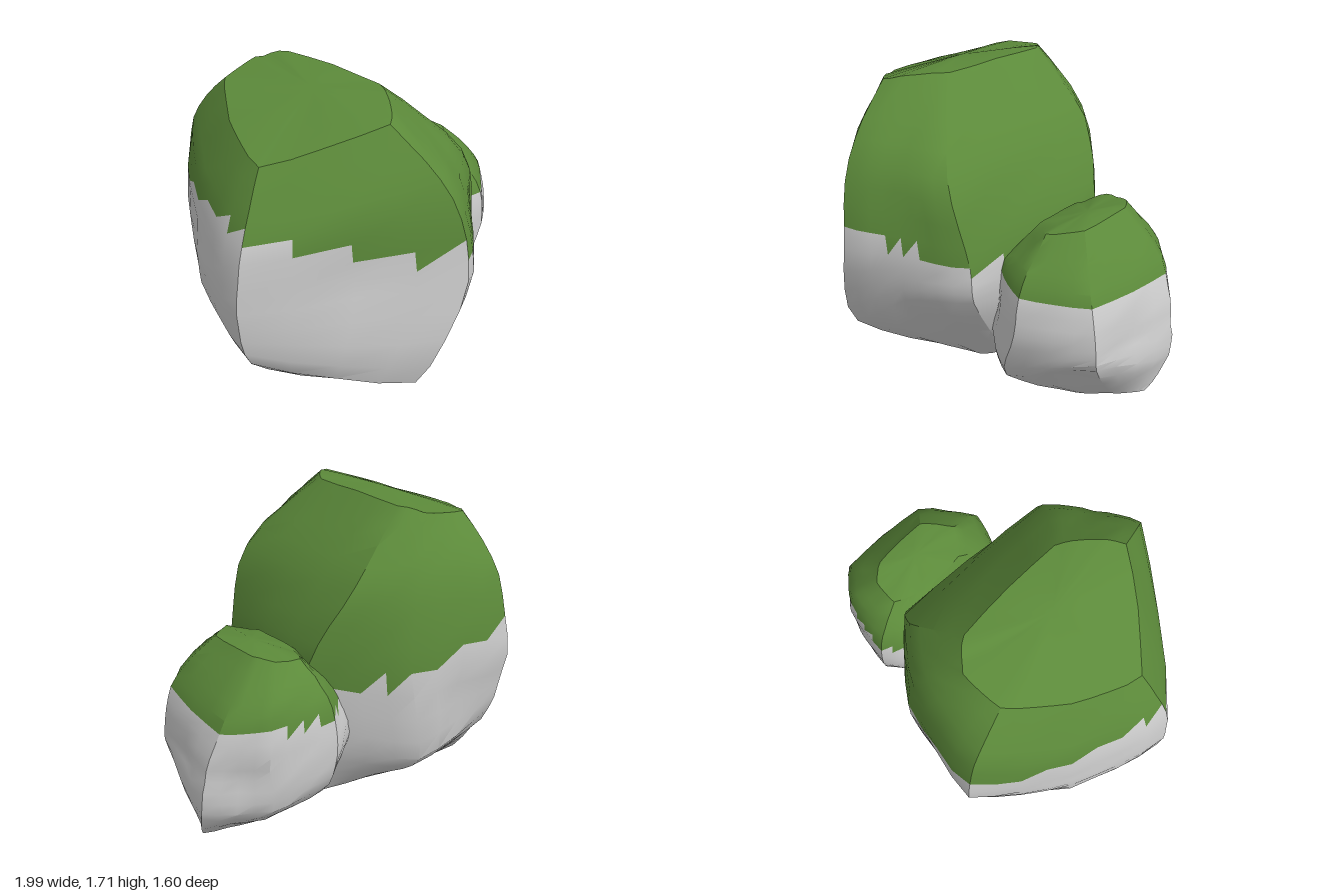
import * as THREE from 'three';
import { toCreasedNormals } from 'three/addons/utils/BufferGeometryUtils.js';

const V = (p) => new THREE.Vector3(p[0], p[1], p[2]);
const STONE = new THREE.MeshStandardMaterial({ color: 0xcccccc });
const MOSS = new THREE.MeshStandardMaterial({ color: 0x5c8a3a });

function seeded(seed) {
  return () => (seed = (seed * 16807) % 2147483647) / 2147483647;
}

// Points along a path: straight runs blended with a spline, so corners stay firm
function refine(points, steps, closed, round) {
  const curve = new THREE.CatmullRomCurve3(points, closed, 'centripetal');
  const spans = closed ? points.length : points.length - 1;
  const out = [];
  for (let i = 0; i < spans; i++) {
    for (let s = 0; s < steps; s++) {
      const t = s / steps;
      const straight = points[i].clone().lerp(points[(i + 1) % points.length], t);
      out.push(straight.lerp(curve.getPoint((i + t) / spans), round));
    }
  }
  if (!closed) out.push(points[points.length - 1].clone());
  return out;
}

// Wear down the corners: each point moves a little towards its four neighbours
function soften(rings) {
  return rings.map((ring, k) => ring.map((p, i) => {
    if (k === 0 || k === rings.length - 1) return p.clone();
    const n = ring.length;
    const around = [ring[(i + 1) % n], ring[(i + n - 1) % n], rings[k - 1][i], rings[k + 1][i]];
    return around.reduce((sum, q) => sum.addScaledVector(q, 0.05), p.clone().multiplyScalar(0.8));
  }));
}

// Loft a boulder through its upright edges (each runs bottom to top), then close both ends
function boulderGeometry({ edges, bottom, top, dents, seed }) {
  const random = seeded(seed);
  const columns = edges.map((edge) => refine(edge.map(V), 4, false, 0.75));
  const rings = columns[0].map((_, k) => refine(columns.map((c) => c[k]), 4, true, 0.25));
  const b = V(bottom), t = V(top);
  const middle = b.clone().add(t).multiplyScalar(0.5);

  // Shallow hollows and slight unevenness
  for (const p of rings.flat()) {
    let push = (random() - 0.5) * 0.012;
    for (const [x, y, z, radius, depth] of dents) {
      const d = p.distanceTo(V([x, y, z])) / radius;
      if (d < 1) push += depth * (1 - d * d) ** 2;
    }
    p.addScaledVector(middle.clone().sub(p).normalize(), push);
  }

  const shrink = (ring, centre, amount) => ring.map((p) => p.clone().lerp(centre, amount));
  const first = rings[0], last = rings[rings.length - 1];
  const all = soften([
    shrink(first, b, 1), shrink(first, b, 0.4), ...rings,
    shrink(last, t, 0.3), shrink(last, t, 0.65), shrink(last, t, 1),
  ]);

  const n = first.length;
  const index = [];
  for (let k = 0; k < all.length - 1; k++) {
    for (let i = 0; i < n; i++) {
      const j = (i + 1) % n;
      const a = k * n + i, c = k * n + j, d = a + n, e = c + n;
      if (k > 0) index.push(a, c, e);
      if (k < all.length - 2) index.push(a, e, d);
    }
  }
  const geometry = new THREE.BufferGeometry();
  const position = all.flat().flatMap((p) => p.toArray());
  geometry.setAttribute('position', new THREE.Float32BufferAttribute(position, 3));
  geometry.setIndex(index);
  return toCreasedNormals(geometry, 0.5);
}

// Split a boulder into bare stone and the moss cap above its moss line
function buildBoulder(name, spec) {
  const geometry = boulderGeometry(spec);
  const pos = geometry.attributes.position.array;
  const nor = geometry.attributes.normal.array;
  const parts = { Stone: [[], [], STONE], Moss: [[], [], MOSS] };
  for (let i = 0; i < pos.length; i += 9) {
    const x = (pos[i] + pos[i + 3] + pos[i + 6]) / 3;
    const y = (pos[i + 1] + pos[i + 4] + pos[i + 7]) / 3;
    const part = y > spec.mossLine(x) ? parts.Moss : parts.Stone;
    part[0].push(...pos.slice(i, i + 9));
    part[1].push(...nor.slice(i, i + 9));
  }
  const group = new THREE.Group();
  group.name = name;
  for (const [key, [p, nrm, material]] of Object.entries(parts)) {
    const g = new THREE.BufferGeometry();
    g.setAttribute('position', new THREE.Float32BufferAttribute(p, 3));
    g.setAttribute('normal', new THREE.Float32BufferAttribute(nrm, 3));
    const mesh = new THREE.Mesh(g, material);
    mesh.name = name + key;
    group.add(mesh);
  }
  return group;
}

const LARGE = {
  edges: [
    // left, front, middle of front right face, front right
    [[-0.45, 0.12, 0.1], [-0.96, 0.54, 0.05], [-1.005, 0.88, 0.04], [-0.94, 1.22, 0.05], [-0.76, 1.52, 0.02]],
    [[-0.1, 0, 0.12], [-0.43, 0.33, 0.66], [-0.25, 0.95, 0.81], [-0.28, 1.38, 0.71], [-0.35, 1.68, 0.42]],
    [[-0.03, 0, 0.1], [-0.04, 0.66, 0.62], [0.02, 0.95, 0.66], [-0.07, 1.37, 0.61], [-0.22, 1.71, 0.32]],
    [[0.12, 0.08, 0.05], [0.3, 0.73, 0.48], [0.29, 0.92, 0.49], [0.16, 1.34, 0.5], [-0.12, 1.715, 0.2]],
    // back right, back, back corner, back left
    [[0.34, 0.18, -0.18], [0.39, 0.58, -0.31], [0.415, 1.03, -0.3], [0.23, 1.4, -0.42], [-0.08, 1.71, -0.38]],
    [[-0.02, 0.25, -0.4], [0, 0.47, -0.66], [0.09, 1, -0.65], [0.01, 1.41, -0.6], [-0.18, 1.675, -0.5]],
    [[-0.45, 0.29, -0.54], [-0.43, 0.64, -0.74], [-0.44, 0.97, -0.81], [-0.42, 1.38, -0.73], [-0.39, 1.65, -0.51]],
    [[-0.69, 0.25, -0.25], [-0.78, 0.7, -0.42], [-0.77, 0.92, -0.42], [-0.72, 1.26, -0.4], [-0.6, 1.58, -0.29]],
  ],
  bottom: [-0.06, 0.11, -0.12],
  top: [-0.3, 1.695, -0.05],
  dents: [
    [-0.65, 1.03, 0.42, 0.3, 0.05], [-0.6, 0.46, -0.5, 0.25, 0.05],
    [-0.4, 0.3, -0.42, 0.2, 0.03], [-0.18, 0.78, -0.72, 0.22, 0.03],
  ],
  mossLine: (x) => 1.0 - 0.3 * x,
  seed: 11,
};

const SMALL = {
  edges: [
    // left, front, front right
    [[0.38, 0.16, 0.18], [0.21, 0.36, 0.25], [0.33, 0.68, 0.34], [0.33, 0.91, 0.3], [0.39, 1.06, 0.1]],
    [[0.63, 0.09, 0.05], [0.42, 0.29, 0.38], [0.54, 0.65, 0.46], [0.54, 0.91, 0.4], [0.51, 1.085, 0.21]],
    [[0.8, 0.15, -0.01], [0.89, 0.52, 0.26], [0.88, 0.67, 0.27], [0.81, 0.9, 0.24], [0.65, 1.115, 0.1]],
    // back right, back, inner side
    [[0.95, 0.21, -0.1], [1.005, 0.41, -0.2], [0.97, 0.65, -0.22], [0.87, 0.89, -0.25], [0.66, 1.125, -0.2]],
    [[0.67, 0.16, -0.16], [0.74, 0.41, -0.41], [0.76, 0.65, -0.42], [0.72, 0.92, -0.4], [0.6, 1.105, -0.29]],
    [[0.41, 0.18, -0.2], [0.45, 0.46, -0.48], [0.43, 0.7, -0.52], [0.44, 0.94, -0.46], [0.47, 1.085, -0.31]],
    [[0.25, 0.25, -0.05], [0.2, 0.5, -0.3], [0.22, 0.66, -0.4], [0.27, 0.9, -0.32], [0.4, 1.065, -0.15]],
  ],
  bottom: [0.57, 0.15, -0.04],
  top: [0.55, 1.12, -0.05],
  dents: [[0.74, 0.36, 0.25, 0.2, 0.04], [0.93, 0.62, 0.05, 0.2, 0.03], [0.86, 0.58, -0.32, 0.18, 0.03]],
  mossLine: () => 0.84,
  seed: 29,
};

export function createModel() {
  const model = new THREE.Group();
  model.name = 'mossyBoulders';
  model.add(buildBoulder('largeBoulder', LARGE), buildBoulder('smallBoulder', SMALL));
  return model;
}
